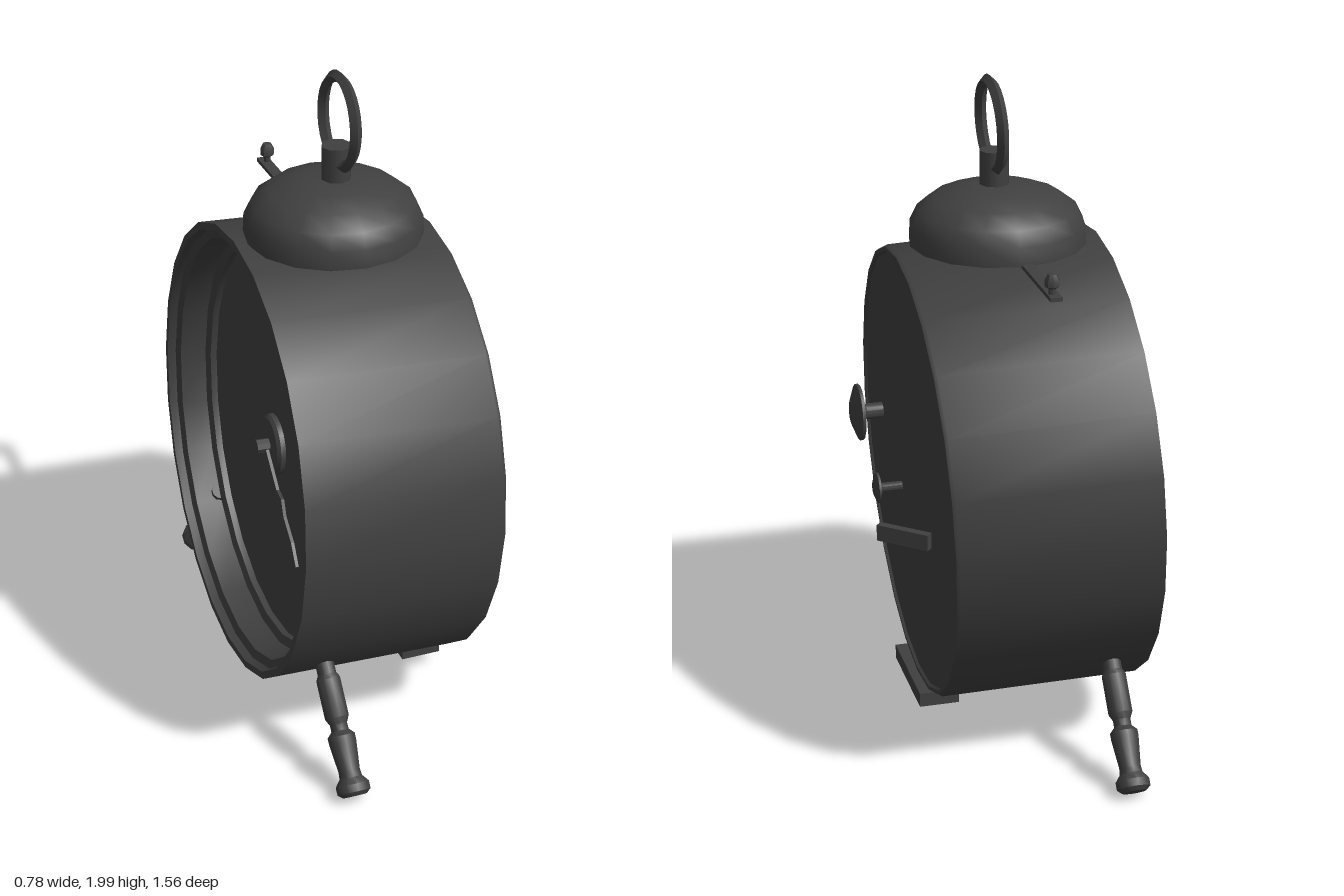
import * as THREE from 'three';
import { toCreasedNormals } from 'three/addons/utils/BufferGeometryUtils.js';

const material = new THREE.MeshStandardMaterial({ color: 0x404040 });
const openMaterial = new THREE.MeshStandardMaterial({ color: 0x404040, side: THREE.DoubleSide });

function part(parent, name, geometry, x = 0, y = 0, z = 0, mat = material) {
  const mesh = new THREE.Mesh(geometry, mat);
  mesh.name = name;
  mesh.position.set(x, y, z);
  parent.add(mesh);
  return mesh;
}

// Turned form around y; profile pairs are [radius, height], bottom to top.
function turned(profile, sides) {
  const points = profile.map(([r, h]) => new THREE.Vector2(r, h));
  return toCreasedNormals(new THREE.LatheGeometry(points, sides), 0.68);
}

// The same, with its axis laid along +x.
const turnedAlongX = (profile, sides) => turned(profile, sides).rotateZ(-Math.PI / 2);

function createHand(length, width) {
  const upper = [[0, 0.3], [0.38, 0.3], [0.48, 1], [0.6, 0.3], [0.82, 0.55], [1, 0]];
  const lower = upper.slice(0, -1).reverse().map(([t, w]) => [t, -w]);
  const shape = new THREE.Shape([...upper, ...lower].map(([t, w]) => new THREE.Vector2(t * length, w * width)));
  return new THREE.ExtrudeGeometry(shape, { depth: 0.01, bevelEnabled: false });
}

export function createModel() {
  const clock = new THREE.Group();
  clock.name = 'alarmClock';

  // Drum case, leaning slightly back, with a recessed dial on the -x side
  const body = new THREE.Group();
  body.name = 'body';
  body.position.set(-0.06, 0.805, 0);
  body.rotation.set(0, -0.022, -0.036);
  clock.add(body);
  part(body, 'case', turnedAlongX([
    [0, -0.16], [0.61, -0.16], [0.61, -0.18], [0.635, -0.19], [0.645, -0.27],
    [0.67, -0.28], [0.675, -0.305], [0.697, -0.305], [0.69, 0.295],
    [0.684, 0.305], [0.672, 0.305], [0.667, 0.297], [0, 0.297],
  ], 24));

  // Dial centre and hand
  part(body, 'dialDisc', turnedAlongX([[0, -0.185], [0.085, -0.185], [0.095, -0.175], [0.095, -0.155]], 16));
  part(body, 'handPin', turnedAlongX([[0, -0.225], [0.022, -0.225], [0.022, -0.16]], 8));
  const hand = createHand(0.4, 0.03).rotateZ(-0.65).rotateY(-Math.PI / 2);
  part(body, 'hand', hand, -0.19, 0, 0);

  // Winding knobs on the +x side
  part(clock, 'largeKnob', turnedAlongX([
    [0.025, -0.06], [0.025, 0.04], [0.04, 0.045], [0.09, 0.055], [0.09, 0.065], [0.04, 0.085], [0, 0.085],
  ], 16), 0.245, 0.83, 0.42);
  part(clock, 'smallKnob', turnedAlongX([
    [0.014, -0.06], [0.014, 0.05], [0.022, 0.052], [0.048, 0.058], [0.048, 0.065], [0.022, 0.075], [0, 0.075],
  ], 12), 0.245, 0.685, 0.145);

  // Slanted lever
  const lever = part(clock, 'lever', new THREE.BoxGeometry(0.17, 0.05, 0.025), 0.315, 0.7, -0.257);
  lever.rotation.y = -0.72;

  // Bell with its post
  part(clock, 'bell', turned([
    [0.265, 1.505], [0.262, 1.56], [0.24, 1.605], [0.19, 1.643], [0.12, 1.668], [0.07, 1.677], [0, 1.678],
  ], 16), -0.04, 0, 0.015, openMaterial);
  part(clock, 'bellPost', new THREE.CylinderGeometry(0.022, 0.022, 0.25, 8), -0.06, 1.55, 0.015);
  part(clock, 'ringStem', new THREE.CylinderGeometry(0.045, 0.045, 0.12, 8), -0.033, 1.72, 0.022);

  // Carrying ring, diamond in section
  const ring = toCreasedNormals(new THREE.TorusGeometry(0.13, 0.018, 4, 28).rotateY(Math.PI / 2), 0.5);
  part(clock, 'carryingRing', ring, -0.026, 1.854, 0.028).rotation.z = -0.04;

  // Hammer arm and striker
  part(clock, 'hammerArm', new THREE.BoxGeometry(0.035, 0.012, 0.53), -0.062, 1.505, -0.28);
  part(clock, 'striker', turned([
    [0.01, 1.5], [0.01, 1.527], [0.022, 1.535], [0.022, 1.552], [0.013, 1.57], [0, 1.574],
  ], 8), -0.058, 0, -0.51);

  // Turned front legs, mirrored in z
  const legProfile = [
    [0, 0], [0.036, 0], [0.05, 0.012], [0.05, 0.035], [0.034, 0.055], [0.032, 0.075], [0.041, 0.16],
    [0.041, 0.18], [0.026, 0.195], [0.026, 0.215], [0.036, 0.235], [0.036, 0.35], [0.028, 0.365], [0.028, 0.46],
  ];
  for (const side of [1, -1]) {
    const leg = part(clock, side > 0 ? 'leftLeg' : 'rightLeg', turned(legProfile, 10), -0.255, 0.032, side * 0.75);
    leg.rotation.x = -side * 0.68;
  }

  // Rear foot
  part(clock, 'rearFoot', new THREE.BoxGeometry(0.125, 0.045, 0.34), 0.183, 0.082, 0.03);
  return clock;
}
